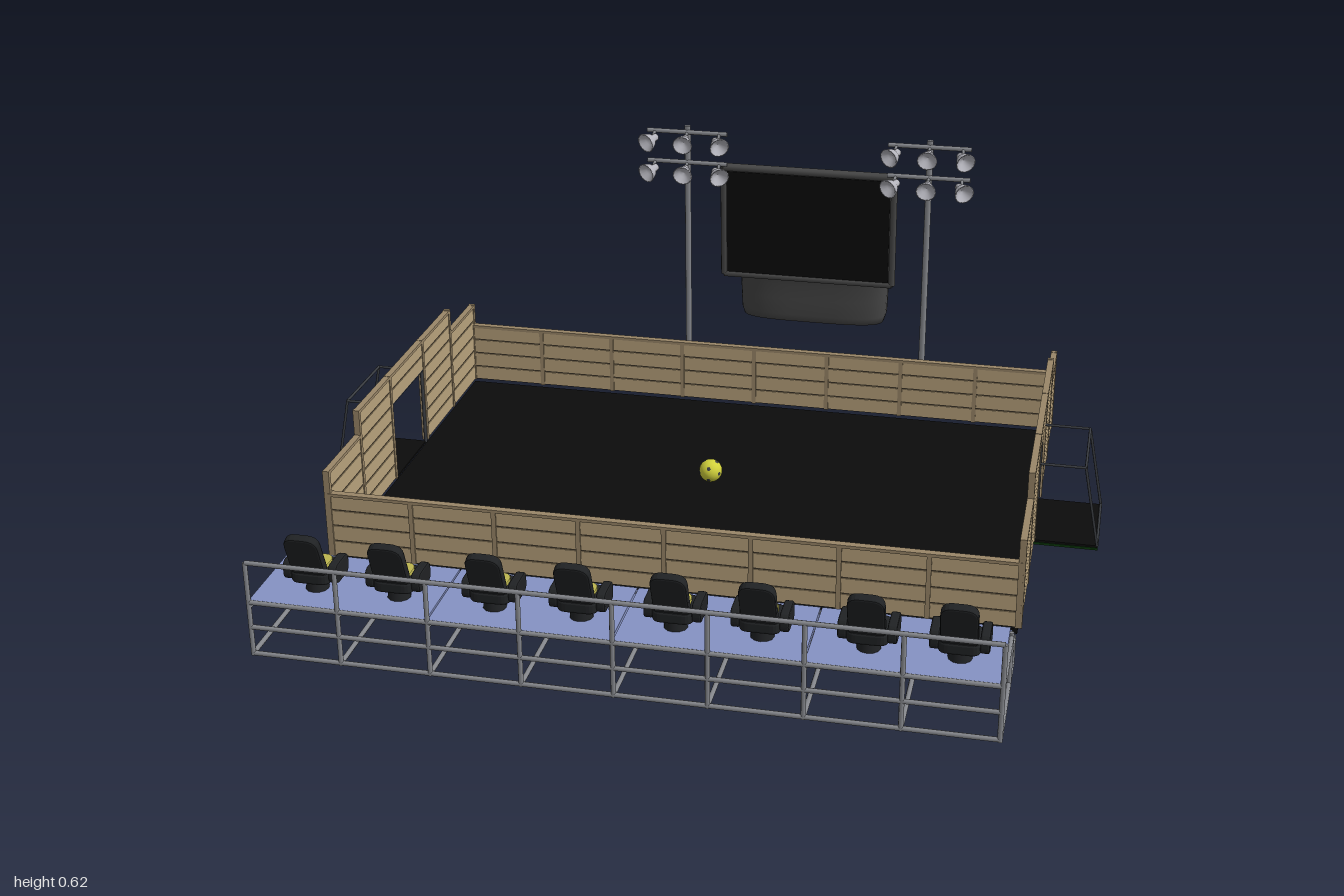
import * as THREE from 'three';

const mat = (color, side = THREE.FrontSide) => {
  const m = new THREE.MeshStandardMaterial({ color });
  m.side = side;
  return m;
};
const M = {
  turf: mat(0x0c0c0c), green: mat(0x0c3a0c), wood: mat(0xb8a27c), seam: mat(0x4a4032), post: mat(0x9a8768),
  steel: mat(0x85878c), dark: mat(0x3a3d42), deck: mat(0x8592c4), seat: mat(0x202224), pad: mat(0xbdb650),
  horn: mat(0x464646, THREE.DoubleSide), screen: mat(0x0a0a0a), lamp: mat(0xb4b4bc, THREE.DoubleSide), ball: mat(0xd2d23c),
};

function add(parent, name, geo, material, x = 0, y = 0, z = 0) {
  const mesh = new THREE.Mesh(geo, material);
  mesh.name = name;
  mesh.position.set(x, y, z);
  parent.add(mesh);
  return mesh;
}
// Box given by its minimum and maximum corners
function box(parent, name, material, [x0, y0, z0], [x1, y1, z1]) {
  return add(parent, name, new THREE.BoxGeometry(x1 - x0, y1 - y0, z1 - z0), material,
    (x0 + x1) / 2, (y0 + y1) / 2, (z0 + z1) / 2);
}
// Round bar between two points
function bar(parent, name, material, a, b, r = 0.005) {
  const p = new THREE.Vector3(...a), d = new THREE.Vector3(...b).sub(p);
  const mesh = add(parent, name, new THREE.CylinderGeometry(r, r, d.length(), 8), material);
  mesh.position.copy(p).addScaledVector(d, 0.5);
  mesh.quaternion.setFromUnitVectors(new THREE.Vector3(0, 1, 0), d.normalize());
}
function group(parent, name, x = 0, y = 0, z = 0) {
  const g = new THREE.Group();
  g.name = name;
  g.position.set(x, y, z);
  parent.add(g);
  return g;
}

// Plank wall along local x: dark core with planks on both faces
function plankWall(parent, name, length, y0, y1) {
  const g = group(parent, name), n = Math.max(1, Math.round((y1 - y0) / 0.037)), h = (y1 - y0) / n;
  box(g, 'wallCore', M.seam, [0, y0, -0.003], [length, y1 - 0.002, 0.003]);
  for (let i = 0; i < n; i++) {
    box(g, 'plank', M.wood, [0, y0 + i * h + 0.002, -0.005], [length, y0 + (i + 1) * h - 0.002, 0.005]);
  }
  return g;
}

function longWall(parent, z) {
  const g = group(parent, 'longWall', -0.725, 0, z);
  plankWall(g, 'plankPanel', 1.44, 0.02, 0.165);
  for (let i = 0; i <= 8; i++) {
    const x = i * 0.18;
    box(g, 'wallPost', M.post, [x - 0.005, 0.02, -0.008], [x + 0.005, 0.167, 0.008]);
  }
  box(g, 'wallCap', M.post, [0, 0.16, -0.008], [1.44, 0.167, 0.008]);
}

// Stepped end wall with a goal opening
function endWall(parent, x) {
  const g = group(parent, 'endWall', x, 0, 0);
  const spans = [[-0.37, -0.19, 0.02, 0.215], [-0.19, 0.005, 0.02, 0.272], [0.005, 0.207, 0.2, 0.272],
    [0.207, 0.4, 0.02, 0.272], [0.4, 0.582, 0.02, 0.215]];
  for (const [a, b, y0, y1] of spans) {
    const w = plankWall(g, 'plankPanel', b - a, y0, y1);
    w.rotation.y = -Math.PI / 2;
    w.position.z = a;
    box(g, 'wallCap', M.post, [-0.007, y1 - 0.005, a], [0.007, y1 + 0.002, b]);
  }
  for (const [z, y] of [[-0.37, 0.215], [-0.19, 0.272], [0, 0.272], [0.212, 0.272], [0.4, 0.272], [0.582, 0.215]]) {
    box(g, 'wallPost', M.post, [-0.007, 0.02, z - 0.005], [0.007, y + 0.003, z + 0.005]);
  }
}

function goal(parent, s) {
  const g = group(parent, 'goal', -0.005, 0, 0), z0 = 0.007, z1 = 0.205;
  const a = s * 0.72, b = s * 0.825, c = s * 0.86;
  const lo = Math.min(a, c), hi = Math.max(a, c);
  box(g, 'goalFloor', M.turf, [lo, 0.013, z0], [hi, 0.018, z1]);
  if (s > 0) box(g, 'goalBase', M.green, [lo, 0.008, z0 - 0.002], [hi + 0.002, 0.013, z1 + 0.002]);
  for (const z of [z0, z1]) {
    bar(g, 'goalPost', M.dark, [a, 0.015, z], [a, 0.2, z], 0.004);
    bar(g, 'goalTopBar', M.dark, [a, 0.2, z], [b, 0.2, z], 0.003);
    bar(g, 'goalBackBar', M.dark, [b, 0.2, z], [c, 0.018, z], 0.003);
  }
  for (const [x, y] of [[a, 0.2], [b, 0.2], [c, 0.018]]) bar(g, 'goalCrossbar', M.dark, [x, y, z0], [x, y, z1], 0.003);
}

function stand(parent) {
  const g = group(parent, 'spectatorStand'), x0 = -0.725, x1 = 0.715;
  for (let i = 0; i < 4; i++) {
    const a = x0 + i * 0.36, b = a + 0.357;
    box(g, 'upperDeck', M.deck, [a, 0.13, 0.79], [b, 0.14, 0.99]);
    box(g, 'lowerDeck', M.deck, [a, 0.08, 0.712], [b, 0.088, 0.795]);
  }
  const rows = [[0.992, 0.222, [0.024, 0.082, 0.136, 0.222]], [0.8, 0.135, [0.024, 0.082, 0.13]], [0.724, 0.083, [0.024, 0.078]]];
  for (const [z, top, rails] of rows) {
    for (let i = 0; i <= 8; i++) bar(g, 'standPost', M.steel, [x0 + i * 0.18, 0.02, z], [x0 + i * 0.18, top, z]);
    for (const y of rails) bar(g, 'standRail', M.steel, [x0, y, z], [x1, y, z]);
  }
  for (let i = 0; i <= 8; i++) {
    const x = x0 + i * 0.18;
    bar(g, 'crossBeam', M.steel, [x, 0.024, 0.724], [x, 0.024, 0.992]);
    bar(g, 'crossBeam', M.steel, [x, 0.126, 0.8], [x, 0.126, 0.992]);
    bar(g, 'crossBeam', M.steel, [x, 0.077, 0.724], [x, 0.077, 0.8]);
  }
}

// Extruded rounded panel in the xy plane, centred on z
function roundedPanel(w, h, r, depth) {
  const s = new THREE.Shape(), x = w / 2, y = h / 2;
  s.moveTo(-x + r, -y).lineTo(x - r, -y).quadraticCurveTo(x, -y, x, -y + r).lineTo(x, y - r)
    .quadraticCurveTo(x, y, x - r, y).lineTo(-x + r, y).quadraticCurveTo(-x, y, -x, y - r)
    .lineTo(-x, -y + r).quadraticCurveTo(-x, -y, -x + r, -y);
  const d = depth * 0.6, bevel = depth * 0.2;
  return new THREE.ExtrudeGeometry(s, { depth: d, bevelThickness: bevel, bevelSize: bevel, bevelSegments: 2, curveSegments: 5 })
    .translate(0, 0, -d / 2);
}

function chair(parent, x) {
  const g = group(parent, 'chair', x, 0.14, 0.915);
  add(g, 'pedestal', new THREE.CylinderGeometry(0.018, 0.023, 0.03, 12), M.seat, 0, 0.015, 0);
  add(g, 'seatBase', roundedPanel(0.07, 0.07, 0.015, 0.024), M.seat, 0, 0.038, 0).rotation.x = -Math.PI / 2;
  add(g, 'seatPad', roundedPanel(0.052, 0.05, 0.02, 0.01), M.pad, 0, 0.052, -0.006).rotation.x = -Math.PI / 2;
  for (const s of [-1, 1]) {
    add(g, 'armrest', roundedPanel(0.058, 0.034, 0.012, 0.018), M.seat, s * 0.046, 0.047, 0).rotation.y = Math.PI / 2;
  }
  const back = group(g, 'backrest', 0, 0.045, 0.026);
  back.rotation.x = 0.36;
  add(back, 'backShell', roundedPanel(0.062, 0.1, 0.02, 0.018), M.seat, 0, 0.048, 0);
  add(back, 'backPad', roundedPanel(0.044, 0.082, 0.018, 0.01), M.pad, 0, 0.05, -0.01);
}

function lightTower(parent, x) {
  const g = group(parent, 'lightTower', x, 0, -0.685);
  bar(g, 'mast', M.steel, [0, 0.03, 0], [0, 0.62, 0], 0.008);
  const bell = new THREE.LatheGeometry([[0, -0.028], [0.009, -0.026], [0.01, -0.014], [0.018, -0.004], [0.025, 0.014],
    [0.022, 0.014], [0.012, 0.0], [0, -0.004]].map(p => new THREE.Vector2(...p)), 16).rotateX(Math.PI / 2);
  for (const y of [0.605, 0.526]) {
    bar(g, 'lampBar', M.steel, [-0.103, y, 0.006], [0.103, y, 0.006], 0.006);
    for (const s of [-1, 0, 1]) {
      bar(g, 'lampBracket', M.steel, [s * 0.082, y, 0.006], [s * 0.085, y - 0.012, 0.028], 0.004);
      const lamp = add(g, 'floodlight', bell, M.lamp, s * 0.088, y - 0.016, 0.048);
      lamp.rotation.set(0.2, s * 0.5, 0, 'YXZ');
    }
  }
}

// Curved duct lofted through rounded sections, with the screen in its mouth
function screenHorn(parent) {
  const g = group(parent, 'screenHorn', 0.05, 0, 0), N = 40;
  const keys = [ // outer z, outer y, inner z, inner y, half width
    [-0.805, 0.475, -0.81, 0.205, 0.205], [-0.87, 0.458, -0.838, 0.21, 0.2], [-0.925, 0.41, -0.852, 0.2, 0.2],
    [-0.97, 0.32, -0.86, 0.175, 0.2], [-0.99, 0.22, -0.864, 0.14, 0.2], [-0.999, 0.12, -0.865, 0.1, 0.198],
    [-1, 0.06, -0.865, 0.055, 0.196], [-0.994, 0.036, -0.87, 0.036, 0.19], [-0.97, 0.028, -0.89, 0.028, 0.16],
    [-0.93, 0.027, -0.93, 0.027, 0]];
  const pos = [], idx = [];
  const round = v => Math.sign(v) * Math.abs(v) ** 0.6;
  keys.forEach(([oz, oy, iz, iy, w], k) => {
    for (let i = 0; i < N; i++) {
      const t = (i / N) * Math.PI * 2, u = round(Math.cos(t)), v = (round(Math.sin(t)) + 1) / 2;
      pos.push(u * w, iy + (oy - iy) * v, iz + (oz - iz) * v);
      if (k < keys.length - 1) {
        const a = k * N + i, b = k * N + (i + 1) % N;
        idx.push(a, a + N, b, b, a + N, b + N);
      }
    }
  });
  const geo = new THREE.BufferGeometry();
  geo.setAttribute('position', new THREE.Float32BufferAttribute(pos, 3));
  geo.setIndex(idx);
  geo.computeVertexNormals();
  add(g, 'duct', geo, M.horn);
  const face = group(g, 'screenFace', 0, 0.333, -0.805);
  face.rotation.x = 0.04;
  add(face, 'screenFrame', roundedPanel(0.45, 0.305, 0.01, 0.02), M.horn);
  box(face, 'screen', M.screen, [-0.213, -0.14, 0.008], [0.213, 0.14, 0.012]);
  for (const s of [-1, 1]) {
    bar(face, 'frameEdge', M.horn, [-0.222, s * 0.148, 0.006], [0.222, s * 0.148, 0.006], 0.009);
    bar(face, 'frameEdge', M.horn, [s * 0.222, -0.148, 0.006], [s * 0.222, 0.148, 0.006], 0.009);
  }
}

export function createModel() {
  const model = new THREE.Group();
  model.name = 'arena';
  box(model, 'pitch', M.turf, [-0.725, 0, -0.365], [0.715, 0.012, 0.575]);
  for (const z of [-0.367, 0.58]) longWall(model, z);
  for (const s of [-1, 1]) {
    endWall(model, s * 0.722 - 0.005);
    goal(model, s);
  }
  stand(model);
  for (const x of [-0.615, -0.448, -0.256, -0.085, 0.098, 0.263, 0.462, 0.63]) chair(model, x);
  for (const x of [-0.242, 0.371]) lightTower(model, x);
  screenHorn(model);

  // Ball with dark spots
  const ball = group(model, 'ball', -0.012, 0.06, 0.104), p = (1 + Math.sqrt(5)) / 2;
  add(ball, 'ballSkin', new THREE.SphereGeometry(0.026, 24, 16), M.ball);
  for (const a of [-1, 1]) for (const b of [-p, p]) for (const v of [[0, a, b], [a, b, 0], [b, 0, a]]) {
    const d = new THREE.Vector3(...v).normalize();
    const spot = add(ball, 'ballSpot', new THREE.CircleGeometry(0.005, 5), M.dark);
    spot.position.copy(d).multiplyScalar(0.0262);
    spot.quaternion.setFromUnitVectors(new THREE.Vector3(0, 0, 1), d);
  }
  return model;
}
